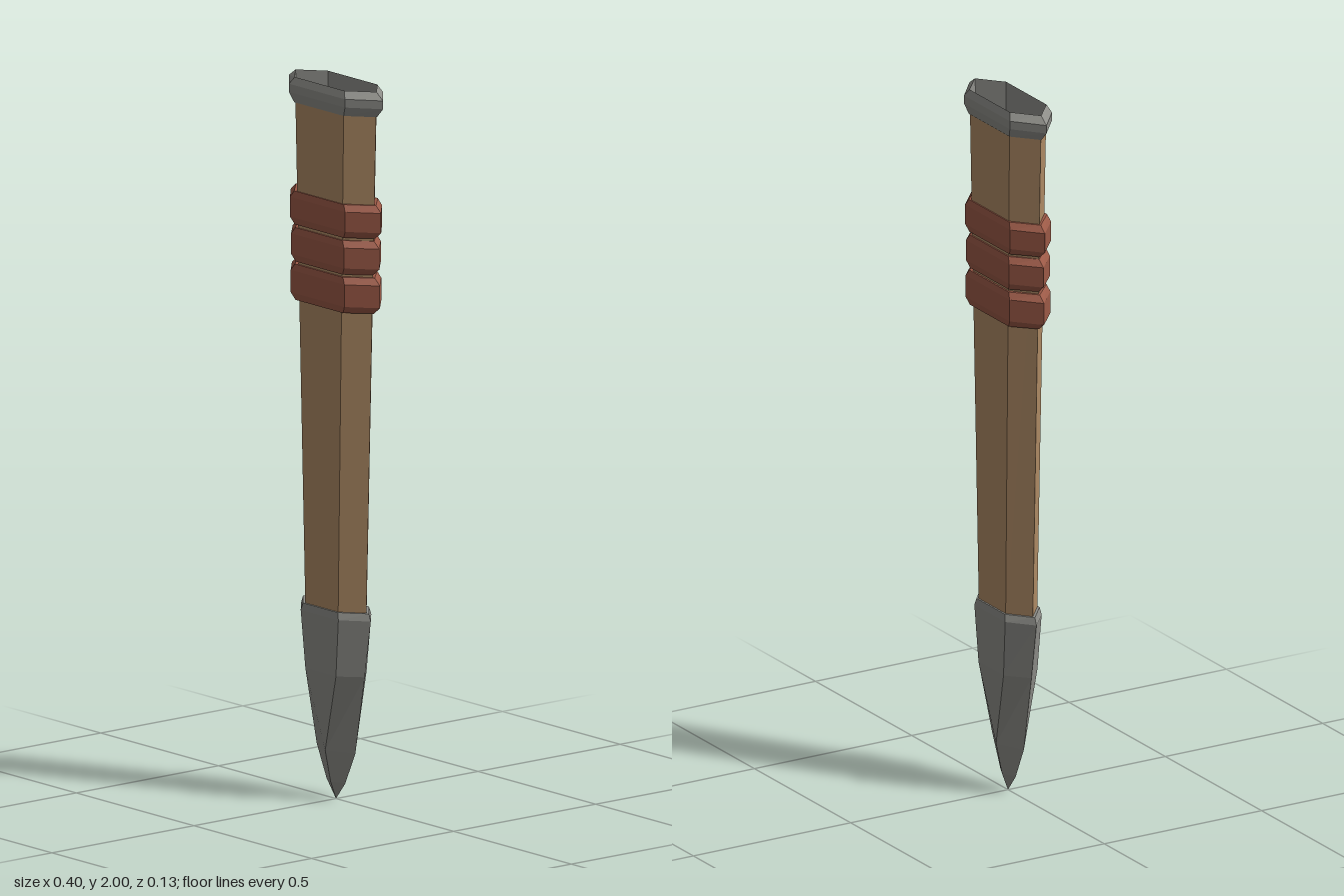
import * as THREE from 'three';

const material = (name, color) => {
  const m = new THREE.MeshStandardMaterial({ color });
  m.name = name;
  return m;
};

// Flat-sided loft through hexagonal rings [y, halfWidth, halfFrontFace, halfDepth].
// Rings listed upward face outward; rings listed downward face inward.
function hexLoft(rings) {
  const loops = rings.map(([y, w, a, d]) =>
    [[w, 0], [a, d], [-a, d], [-w, 0], [-a, -d], [a, -d]].map(([x, z]) => new THREE.Vector3(x, y, z)));
  const positions = [];
  const addTriangle = (a, b, c) => {
    if (new THREE.Triangle(a, b, c).getArea() < 1e-7) return;
    for (const p of [a, b, c]) positions.push(p.x, p.y, p.z);
  };
  for (let j = 0; j < loops.length - 1; j++) {
    for (let i = 0; i < 6; i++) {
      const k = (i + 1) % 6;
      addTriangle(loops[j][k], loops[j][i], loops[j + 1][i]);
      addTriangle(loops[j][k], loops[j + 1][i], loops[j + 1][k]);
    }
  }
  const geometry = new THREE.BufferGeometry();
  geometry.setAttribute('position', new THREE.Float32BufferAttribute(positions, 3));
  geometry.computeVertexNormals();
  return geometry;
}

export function createModel() {
  const leather = material('tan leather', 0xb08c66);
  const metal = material('grey metal', 0x8f8f8a);
  const wrap = material('red leather', 0x9c5a47);
  const group = new THREE.Group();
  group.name = 'scabbard';

  const add = (name, mat, rings) => {
    const mesh = new THREE.Mesh(hexLoft(rings), mat);
    mesh.name = name;
    group.add(mesh);
  };

  // Tapered sheath body
  add('sheathBody', leather, [
    [0.5, 0.128, 0.069, 0.05],
    [1.95, 0.171, 0.103, 0.058],
  ]);

  // Pointed metal tip, its front face narrowing to a ridge
  add('tipCap', metal, [
    [0, 0, 0, 0],
    [0.05, 0.04, 0, 0.019],
    [0.14, 0.082, 0, 0.038],
    [0.36, 0.122, 0.065, 0.054],
    [0.52, 0.148, 0.08, 0.058],
    [0.54, 0.14, 0.074, 0.055],
    [0.54, 0.12, 0.064, 0.046],
  ]);

  // Bevelled metal collar around the mouth
  add('mouthCollar', metal, [
    [1.93, 0.168, 0.102, 0.057],
    [1.93, 0.174, 0.105, 0.06],
    [1.957, 0.2, 0.119, 0.067],
    [1.98, 0.2, 0.119, 0.067],
    [2, 0.172, 0.105, 0.058],
  ]);

  // Hollow inside: metal throat, then leather narrowing to a point
  add('mouthLining', metal, [
    [2, 0.172, 0.105, 0.058],
    [1.37, 0.115, 0.07, 0.039],
  ]);
  add('innerHollow', leather, [
    [1.37, 0.115, 0.07, 0.039],
    [0.1, 0, 0, 0],
  ]);

  // Three bevelled wrap bands: bottom, top, half-width
  [[1.38, 1.48, 0.187], [1.487, 1.582, 0.184], [1.59, 1.683, 0.192]].forEach(([y0, y1, w], i) => {
    const a = w * 0.61, d = 0.065;
    add(`wrapBand${i + 1}`, wrap, [
      [y0, w - 0.045, a - 0.025, d - 0.015],
      [y0, w - 0.026, a - 0.013, d - 0.006],
      [y0 + 0.02, w, a, d],
      [y1 - 0.018, w, a, d],
      [y1, w - 0.022, a - 0.012, d - 0.005],
      [y1, w - 0.045, a - 0.025, d - 0.015],
    ]);
  });

  return group;
}
